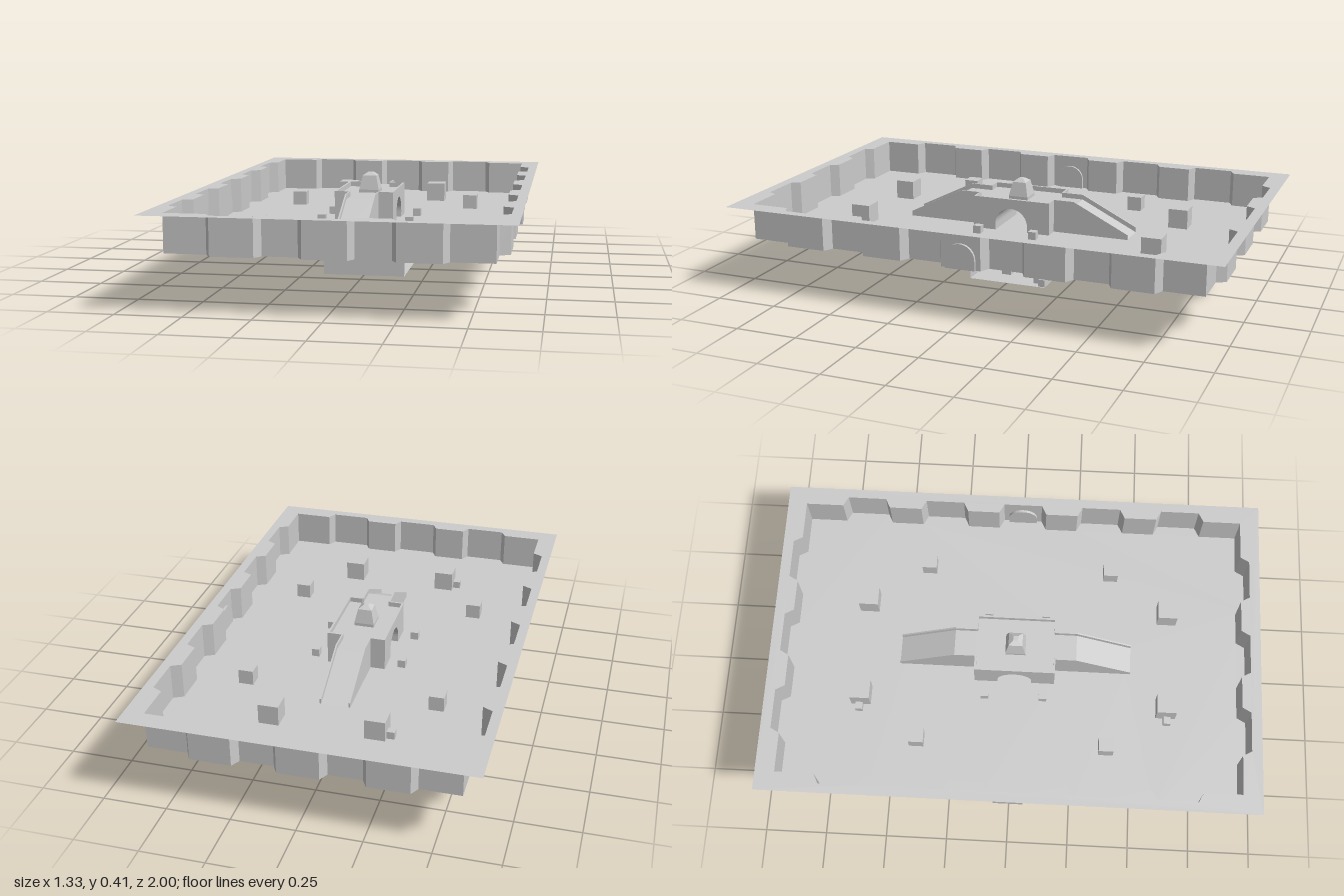
import * as THREE from 'three';

const FLOOR = 0.21, RIM = 0.355, DECK = 0.325;
const mat = new THREE.MeshStandardMaterial({ color: 0xcccccc, flatShading: true, side: THREE.DoubleSide });

function add(parent, name, geo, x = 0, y = 0, z = 0) {
  const m = new THREE.Mesh(geo, mat);
  m.name = name;
  m.position.set(x, y, z);
  parent.add(m);
  return m;
}

// box standing on height y
const block = (parent, name, w, h, d, x, y, z) =>
  add(parent, name, new THREE.BoxGeometry(w, h, d), x, y + h / 2, z);

// one side of the wall outline: recessed line with chamfered bays pushed outward
function side(half, centers, line, bay) {
  const pts = [[-half, line]];
  for (const c of centers) {
    pts.push([c - 0.1, line], [c - 0.08, bay], [c + 0.08, bay], [c + 0.1, line]);
  }
  return pts;
}

function arenaOutline() {
  const hx = 0.588, hz = 0.922;
  const short = side(hx, [-0.33, 0, 0.33], hz, 0.958);
  const long = side(hz, [-0.667, -0.333, 0, 0.333, 0.667], hx, 0.627);
  return [
    ...short.map(([a, b]) => [a, -b]),
    ...long.map(([a, b]) => [b, a]),
    ...short.map(([a, b]) => [-a, b]),
    ...long.map(([a, b]) => [-b, -a]),
  ].map(([x, z]) => new THREE.Vector2(x, z));
}

const rect = (x0, z0, x1, z1) =>
  [[x0, z0], [x1, z0], [x1, z1], [x0, z1]].map(([x, z]) => new THREE.Vector2(x, z));

// flat horizontal sheet from an outline in x and z
const sheet = (outline, holes = []) => {
  const s = new THREE.Shape(outline);
  for (const h of holes) s.holes.push(new THREE.Path(h));
  return new THREE.ShapeGeometry(s).rotateX(Math.PI / 2);
};

// vertical strip following a closed outline
function wallStrip(outline, y0, y1) {
  const p = [];
  outline.forEach((a, i) => {
    const b = outline[(i + 1) % outline.length];
    p.push(a.x, y0, a.y, a.x, y1, a.y, b.x, y0, b.y);
    p.push(b.x, y0, b.y, a.x, y1, a.y, b.x, y1, b.y);
  });
  const g = new THREE.BufferGeometry();
  g.setAttribute('position', new THREE.Float32BufferAttribute(p, 3));
  g.computeVertexNormals();
  return g;
}

// profile drawn in z and y, extruded to a width across x
const acrossX = (shape, width) =>
  new THREE.ExtrudeGeometry(shape, { depth: width, bevelEnabled: false, curveSegments: 12 })
    .translate(0, 0, -width / 2).rotateY(-Math.PI / 2);

const poly = (pts) => new THREE.Shape(pts.map(([a, b]) => new THREE.Vector2(a, b)));

export function createModel() {
  const root = new THREE.Group();
  root.name = 'arena';

  // floor, walls and surrounding rim
  const outline = arenaOutline();
  const rampHoles = [rect(-0.055, -0.46, 0.055, -0.25), rect(-0.055, 0.25, 0.055, 0.46)];
  add(root, 'floor', sheet(outline, rampHoles), 0, FLOOR, 0);
  add(root, 'walls', wallStrip(outline, FLOOR, RIM));
  add(root, 'rim', sheet(rect(-0.665, -1, 0.665, 1), [outline]), 0, RIM, 0);

  // arched side doors
  const door = poly([[-0.06, FLOOR], [0.06, FLOOR], [0.06, 0.25]]);
  door.absarc(0, 0.25, 0.06, 0, Math.PI, false);
  for (const s of [-1, 1]) add(root, 'sideDoor', acrossX(door, 0.02), s * 0.627, 0, 0);

  // bridge with a tunnel under the deck
  const bridge = new THREE.Group();
  bridge.name = 'bridge';
  root.add(bridge);
  const deck = poly([[-0.165, FLOOR], [-0.07, FLOOR], [-0.07, 0.235]]);
  deck.absarc(0, 0.235, 0.07, Math.PI, 0, true);
  [[0.07, FLOOR], [0.165, FLOOR], [0.165, DECK], [-0.165, DECK]].forEach(([a, b]) => deck.lineTo(a, b));
  add(bridge, 'deck', acrossX(deck, 0.24));
  for (const s of [-1, 1]) {
    // ramp slab, its side walls and the deck railings
    const ramp = poly([[0.16, DECK], [s * s * 0.25, DECK], [0.48, FLOOR], [0.455, FLOOR],
      [0.245, DECK - 0.015], [0.16, DECK - 0.015]]);
    const cheek = poly([[0.16, FLOOR], [0.48, FLOOR], [0.48, FLOOR + 0.02], [0.25, DECK + 0.02],
      [0.16, DECK + 0.02]]);
    const turn = s > 0 ? 0 : Math.PI;
    add(bridge, 'ramp', acrossX(ramp, 0.116)).rotation.y = turn;
    for (const x of [-0.058, 0.058]) {
      add(bridge, 'rampSide', acrossX(cheek, 0.006), x).rotation.y = turn;
      block(bridge, 'endRailing', 0.062, 0.02, 0.008, Math.sign(x) * 0.089, DECK, s * 0.161);
    }
    block(bridge, 'sideRailing', 0.008, 0.02, 0.33, s * 0.116, DECK, 0);
  }

  // tapered beacon on the deck
  const beacon = new THREE.LatheGeometry(
    [[0, 0], [0.058, 0], [0.058, 0.012], [0.04, 0.07], [0.014, 0.083], [0, 0.083]]
      .map(([r, y]) => new THREE.Vector2(r, y)), 4).rotateY(Math.PI / 4);
  add(bridge, 'beacon', beacon, 0, DECK, 0);

  // crates, mirrored into the four quarters
  for (const sx of [-1, 1]) for (const sz of [-1, 1]) {
    block(root, 'largeCrate', 0.08, 0.08, 0.08, sx * 0.207, FLOOR, sz * 0.628);
    block(root, 'mediumCrate', 0.06, 0.06, 0.06, sx * 0.386, FLOOR, sz * 0.386);
    block(root, 'smallCrate', 0.032, 0.032, 0.032, sx * 0.182, FLOOR, sz * 0.12);
    if (sx < 0) block(root, 'sideCrate', 0.03, 0.03, 0.03, -0.263, FLOOR, sz * 0.633);
  }

  // room below the floor, open on its left side
  const cellar = new THREE.Group();
  cellar.name = 'cellar';
  root.add(cellar);
  const room = rect(-0.167, -0.165, 0.167, 0.165);
  const shaft = rect(-0.03, -0.03, 0.03, 0.03);
  add(cellar, 'cellarFloor', sheet(room));
  add(cellar, 'cellarCeiling', sheet(room, [shaft]), 0, 0.168, 0);
  for (const s of [-1, 1]) {
    add(cellar, 'cellarWall', new THREE.PlaneGeometry(0.334, 0.168), 0, 0.084, s * 0.165);
  }
  add(cellar, 'cellarEndWall', new THREE.PlaneGeometry(0.33, 0.168).rotateY(Math.PI / 2), -0.167, 0.084, 0);
  add(cellar, 'shaft', wallStrip(shaft, 0.168, FLOOR));
  block(cellar, 'cellarCrate', 0.06, 0.06, 0.06, 0.1, 0, -0.134);
  block(cellar, 'cellarCrate', 0.03, 0.03, 0.03, 0.146, 0, -0.15);
  block(cellar, 'cellarCrate', 0.04, 0.04, 0.04, 0.05, 0, 0.042);

  return root;
}
